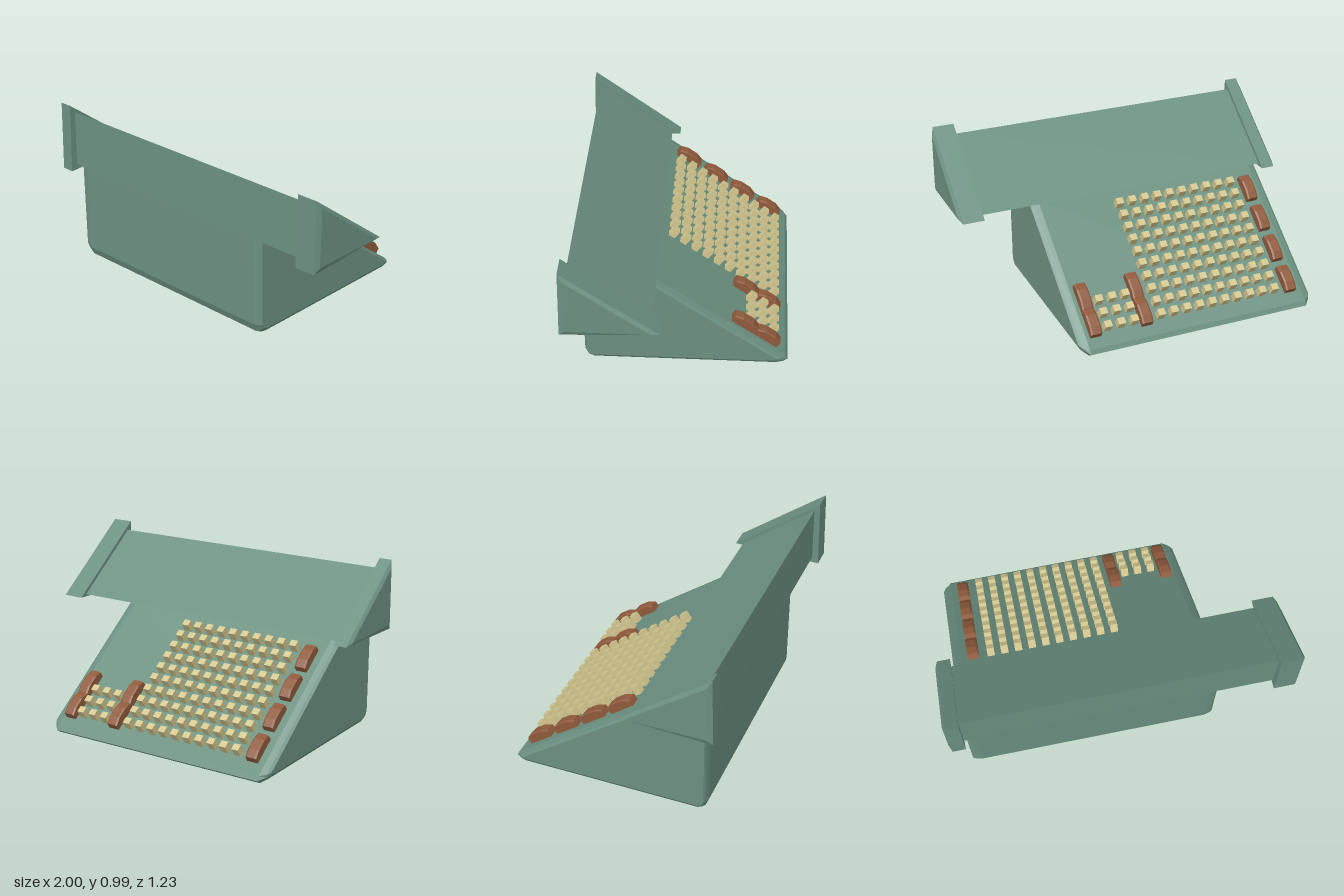
import * as THREE from 'three';

const green = new THREE.MeshStandardMaterial({ color: 0x6b9080, flatShading: true });
const tan = new THREE.MeshStandardMaterial({ color: 0xd2c68e, flatShading: true });
const brown = new THREE.MeshStandardMaterial({ color: 0x8f5a3c, flatShading: true });

// Closed solid through convex [z, y] profiles, given from low x to high x
function loft(sections) {
  const pos = [];
  const n = sections[0].profile.length;
  const point = (i, j) => [sections[i].x, sections[i].profile[j % n][1], sections[i].profile[j % n][0]];
  const tri = (a, b, c) => pos.push(...a, ...b, ...c);
  const last = sections.length - 1;
  for (let i = 0; i < last; i++) {
    for (let j = 0; j < n; j++) {
      const a = point(i, j), b = point(i, j + 1), c = point(i + 1, j + 1), d = point(i + 1, j);
      tri(a, b, c);
      tri(a, c, d);
    }
  }
  for (let j = 1; j < n - 1; j++) {
    tri(point(0, 0), point(0, j + 1), point(0, j));
    tri(point(last, 0), point(last, j), point(last, j + 1));
  }
  const geo = new THREE.BufferGeometry();
  geo.setAttribute('position', new THREE.Float32BufferAttribute(pos, 3));
  geo.computeVertexNormals();
  return geo;
}

const mix = (p, q, t) => p.map((v, i) => v.map((c, k) => c + (q[i][k] - c) * t));

function add(parent, name, geo, mat) {
  const mesh = new THREE.Mesh(geo, mat);
  mesh.name = name;
  parent.add(mesh);
  return mesh;
}

export function createModel() {
  const model = new THREE.Group();
  model.name = 'officeMachine';

  // Wedge body with chamfered sides
  const outer = [[0.55, 0.615], [0.55, 0.07], [0.53, 0.02], [0.49, 0],
    [-0.585, 0], [-0.615, 0.02], [-0.6, 0.045], [0.18, 0.615]];
  const inner = [[0.535, 0.615], [0.535, 0.08], [0.52, 0.055], [0.5, 0.045],
    [-0.51, 0.045], [-0.535, 0.05], [-0.55, 0.057], [0.21, 0.615]];
  const bevel = [[0, 1], [0.015, 0.5], [0.05, 0]];
  const x0 = -0.9, x1 = 0.555;
  add(model, 'body', loft([
    ...bevel.map(([d, t]) => ({ x: x0 + d, profile: mix(outer, inner, t) })),
    ...bevel.slice().reverse().map(([d, t]) => ({ x: x1 - d, profile: mix(outer, inner, t) })),
  ]), green);

  // Wedge carriage across the top
  const bar = [[0.57, 0.94], [0.575, 0.612], [0.13, 0.612]];
  add(model, 'carriage', loft([{ x: -0.92, profile: bar }, { x: 0.87, profile: bar }]), green);

  // Carriage end caps, chamfered on the outside
  const cap = [[0.603, 0.99], [0.615, 0.578], [0.08, 0.6]];
  const capFace = [[0.577, 0.945], [0.585, 0.612], [0.125, 0.612]];
  add(model, 'rightEndCap', loft([
    { x: -1, profile: capFace }, { x: -0.985, profile: cap }, { x: -0.91, profile: cap },
  ]), green);
  add(model, 'leftEndCap', loft([
    { x: 0.86, profile: cap }, { x: 0.985, profile: cap }, { x: 1, profile: capFace },
  ]), green);

  // Keyboard frame lying on the slope
  const keyboard = new THREE.Group();
  keyboard.name = 'keyboard';
  keyboard.position.set(0, 0.483, 0);
  keyboard.rotation.x = -Math.atan(0.73);
  model.add(keyboard);
  const along = (z) => z / Math.cos(Math.atan(0.73));

  // Small keys: ten by ten main field and a three by three pad
  const keyGeo = new THREE.BoxGeometry(0.042, 0.065, 0.04).translate(0, 0.0225, 0);
  const keyBlock = (name, startX, columns, rows) => {
    for (let c = 0; c < columns; c++) {
      for (let r = 0; r < rows; r++) {
        add(keyboard, name, keyGeo, tan).position.set(startX + c * 0.0803, 0, along(-0.513 + r * 0.0655));
      }
    }
  };
  keyBlock('numberKey', -0.675, 10, 10);
  keyBlock('padKey', 0.212, 3, 3);

  // Long crowned function keys
  const side = [[0.08, 0.034], [0.08, -0.01], [-0.08, -0.01], [-0.08, 0.034], [-0.035, 0.05], [0.035, 0.05]];
  const crown = side.map(([z, y]) => [z, y > 0 ? y + 0.006 : y]);
  const barGeo = loft([
    { x: -0.033, profile: side }, { x: -0.024, profile: crown },
    { x: 0.024, profile: crown }, { x: 0.033, profile: side },
  ]);
  const functionKey = (x, z) => add(keyboard, 'functionKey', barGeo, brown).position.set(x, 0, along(z));
  for (let i = 0; i < 4; i++) functionKey(-0.777, -0.477 + i * 0.168);
  for (const x of [0.14, 0.45]) for (const z of [-0.482, -0.352]) functionKey(x, z);

  return model;
}
